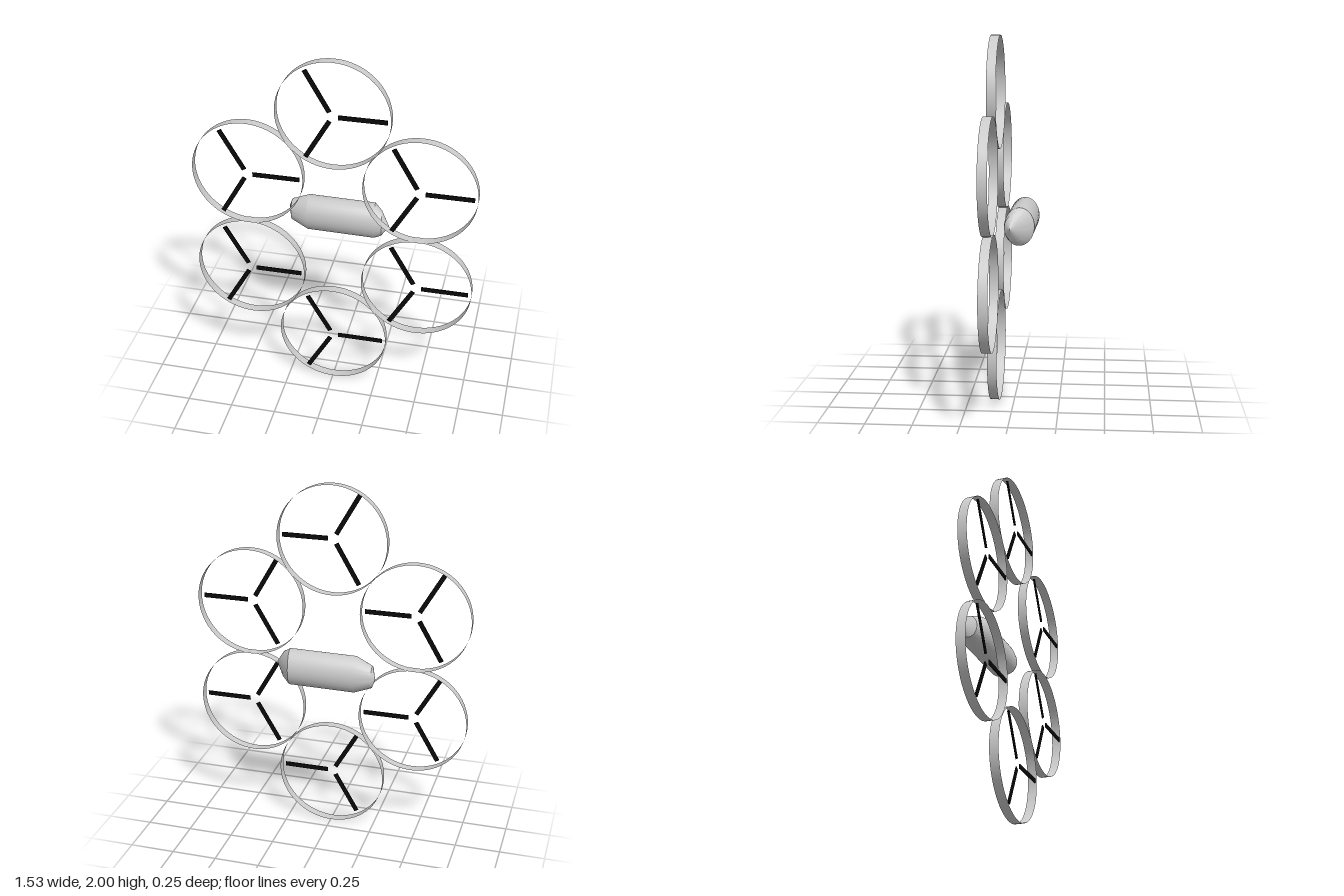
import * as THREE from 'three';
import { toCreasedNormals } from 'three/addons/utils/BufferGeometryUtils.js';

const grey = new THREE.MeshStandardMaterial({ color: 0xcccccc });
const greyThin = new THREE.MeshStandardMaterial({ color: 0xcccccc, side: THREE.DoubleSide });
const black = new THREE.MeshStandardMaterial({ color: 0x0a0a0a });

// Skin through elliptical cross-sections: [x, centre z, radius y, radius z, lean of x with z]
function loft(sections, sides) {
  const pos = [], index = [];
  for (const [x, zc, ry, rz, lean] of sections) {
    for (let j = 0; j <= sides; j++) {
      const a = (j / sides) * Math.PI * 2;
      pos.push(x + lean * Math.sin(a), ry * Math.cos(a), zc + rz * Math.sin(a));
    }
  }
  for (let i = 0; i < sections.length - 1; i++) {
    for (let j = 0; j < sides; j++) {
      const a = i * (sides + 1) + j, c = a + sides + 1;
      if (sections[i][2] > 0) index.push(a, a + 1, c);
      if (sections[i + 1][2] > 0) index.push(a + 1, c + 1, c);
    }
  }
  const g = new THREE.BufferGeometry();
  g.setAttribute('position', new THREE.Float32BufferAttribute(pos, 3));
  g.setIndex(index);
  return toCreasedNormals(g, 0.42);
}

export function createModel() {
  const model = new THREE.Group();
  model.name = 'hexRotorCraft';

  // Body: barrel with a blunt right end and a pointed, skewed left end
  const body = new THREE.Mesh(loft([
    [-0.29, -0.084, 0, 0, 0],
    [-0.266, -0.054, 0.062, 0.046, 0.002],
    [-0.17, -0.045, 0.102, 0.08, 0.002],
    [0.2, -0.038, 0.102, 0.08, 0.01],
    [0.242, -0.018, 0.072, 0.056, 0.008],
    [0.287, 0.006, 0, 0, 0],
  ], 48), grey);
  body.name = 'body';
  body.position.y = 1.003;
  model.add(body);

  // Six ducted rotors touching one another around the body
  const R = 0.303;
  const ductGeo = new THREE.CylinderGeometry(R, R, 0.05, 64, 1, true).rotateX(Math.PI / 2);
  const bladeGeo = new THREE.BoxGeometry(0.255, 0.025, 0.006).translate(0.1575, 0, 0.021);
  const centres = [
    [0, 2 - R], [0.463, 1.303], [0.463, 0.7],
    [0, R], [-0.463, 0.7], [-0.463, 1.303],
  ];
  centres.forEach(([x, y], n) => {
    const rotor = new THREE.Group();
    rotor.name = `rotor${n + 1}`;
    rotor.position.set(x, y, 0.101);
    const duct = new THREE.Mesh(ductGeo, greyThin);
    duct.name = 'duct';
    rotor.add(duct);
    for (let k = 0; k < 3; k++) {
      const blade = new THREE.Mesh(bladeGeo, black);
      blade.name = `blade${k + 1}`;
      blade.rotation.z = (k * Math.PI * 2) / 3;
      rotor.add(blade);
    }
    model.add(rotor);
  });
  return model;
}
